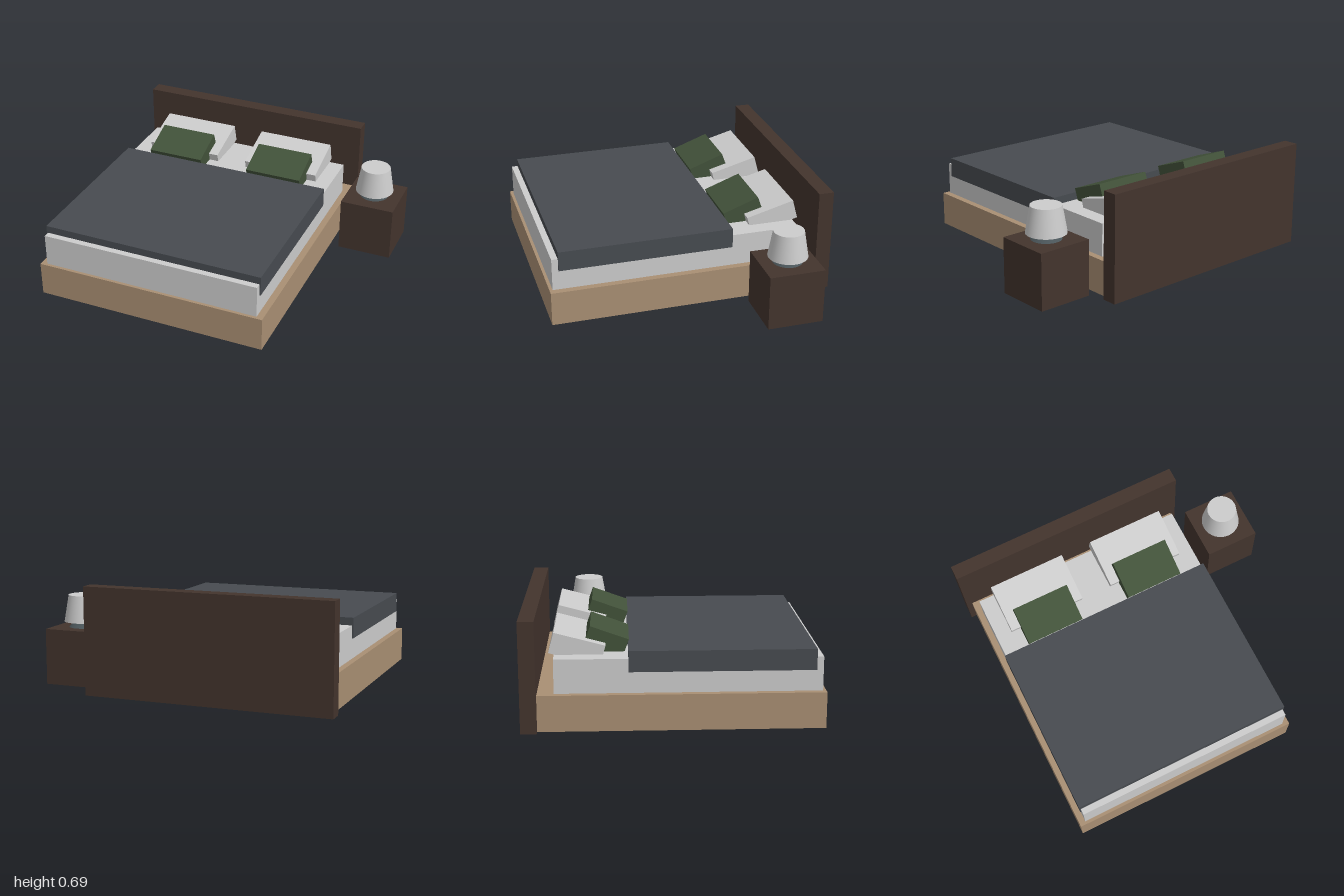
import * as THREE from 'three';

const mat = (name, color) => {
  const m = new THREE.MeshStandardMaterial({ color });
  m.name = name;
  return m;
};

export function createModel() {
  const oak = mat('lightWood', 0xa98f73);
  const darkWood = mat('darkWood', 0x43342d);
  const linen = mat('whiteLinen', 0xcccccc);
  const slate = mat('slateFabric', 0x474b50);
  const green = mat('greenFabric', 0x42523a);
  const metal = mat('lampMetal', 0x4a5559);

  const model = new THREE.Group();
  model.name = 'bedroomSet';

  const add = (parent, name, geometry, material, x, y, z) => {
    const mesh = new THREE.Mesh(geometry, material);
    mesh.name = name;
    mesh.position.set(x, y, z);
    parent.add(mesh);
    return mesh;
  };
  // Box given by its minimum and maximum along each axis
  const block = (parent, name, material, [x0, x1], [y0, y1], [z0, z1]) =>
    add(parent, name, new THREE.BoxGeometry(x1 - x0, y1 - y0, z1 - z0), material,
      (x0 + x1) / 2, (y0 + y1) / 2, (z0 + z1) / 2);

  // Bed
  const bed = new THREE.Group();
  bed.name = 'bed';
  model.add(bed);
  block(bed, 'headboard', darkWood, [-1, 0.61], [0, 0.688], [-0.92, -0.822]);
  block(bed, 'bedFrame', oak, [-0.962, 0.575], [0, 0.225], [-0.822, 0.918]);
  block(bed, 'mattress', linen, [-0.922, 0.532], [0.225, 0.437], [-0.72, 0.898]);
  block(bed, 'blanket', slate, [-0.93, 0.54], [0.356, 0.486], [-0.273, 0.857]);

  // Pillows and cushions, tilted up towards the headboard
  const pillowGeometry = new THREE.BoxGeometry(0.518, 0.13, 0.322);
  const cushionGeometry = new THREE.BoxGeometry(0.387, 0.12, 0.25);
  for (const side of [-1, 1]) {
    const x = -0.194 + side * 0.364;
    const pillow = add(bed, 'pillow', pillowGeometry, linen, x, 0.47, -0.581);
    pillow.rotation.x = THREE.MathUtils.degToRad(15);
    const cushion = add(bed, 'cushion', cushionGeometry, green, x, 0.497, -0.405);
    cushion.rotation.x = THREE.MathUtils.degToRad(20);
  }

  // Nightstand
  block(model, 'nightstand', darkWood, [0.637, 1], [0, 0.363], [-0.72, -0.357]);

  // Lamp: flared foot under a tapered shade
  const lamp = new THREE.Group();
  lamp.name = 'lamp';
  lamp.position.set(0.816, 0.363, -0.539);
  model.add(lamp);
  add(lamp, 'lampBase', new THREE.CylinderGeometry(0.048, 0.097, 0.05, 32), metal, 0, 0.025, 0);
  add(lamp, 'lampShade', new THREE.CylinderGeometry(0.098, 0.128, 0.174, 32), linen, 0, 0.125, 0);

  return model;
}
